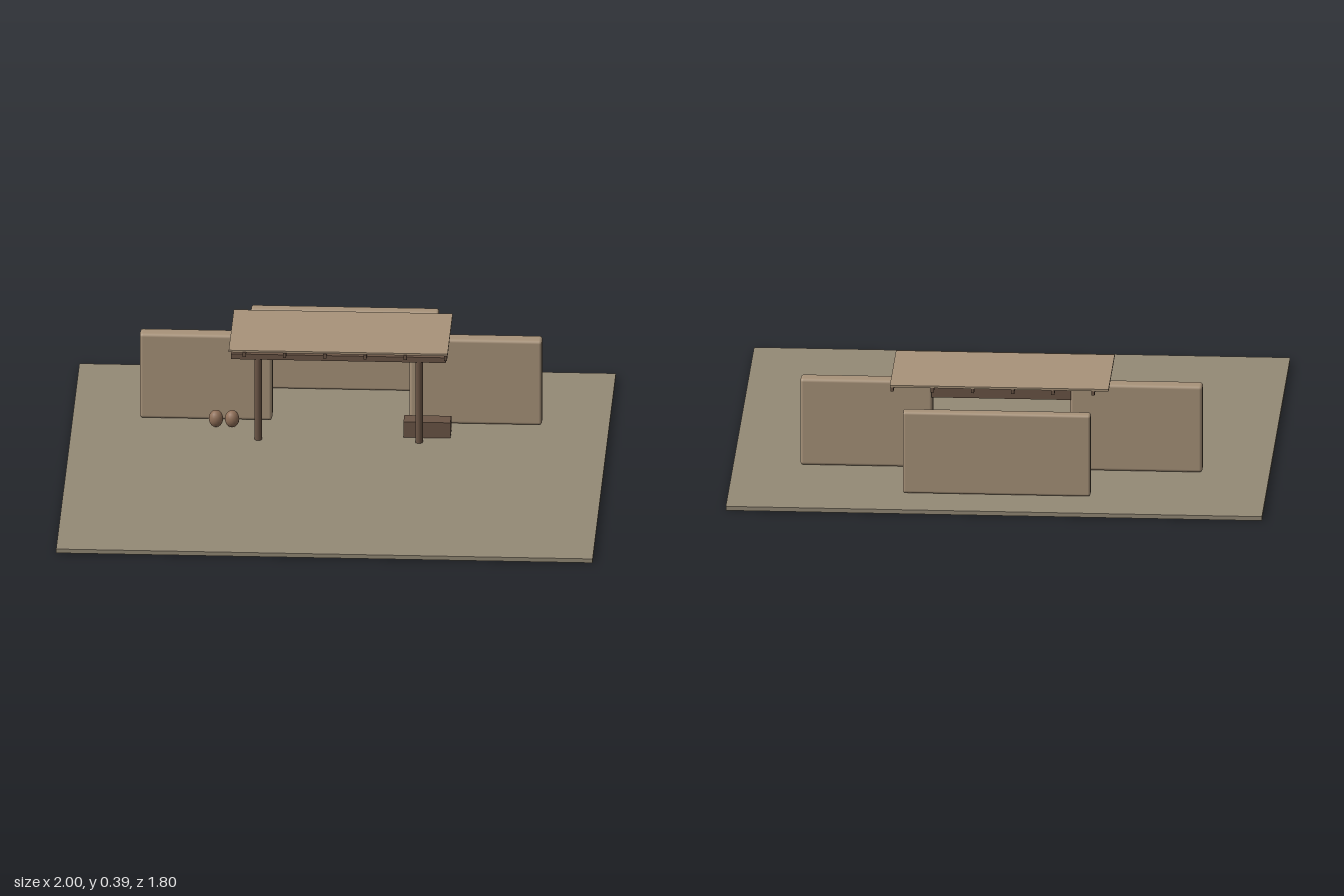
import * as THREE from 'three';
import { RoundedBoxGeometry } from 'three/addons/geometries/RoundedBoxGeometry.js';

const mat = (color) => new THREE.MeshStandardMaterial({ color });

export function createModel() {
  const group = new THREE.Group();
  const earth = mat(0x948a76), clay = mat(0xa8937a), wood = mat(0x6b5546), pottery = mat(0x8f6f58);

  const add = (name, geometry, material, x, y, z) => {
    const mesh = new THREE.Mesh(geometry, material);
    mesh.name = name;
    mesh.position.set(x, y, z);
    group.add(mesh);
    return mesh;
  };
  // Box given by its low and high corners; a radius rounds its edges
  const block = (name, material, [x0, y0, z0], [x1, y1, z1], radius = 0) => {
    const size = [x1 - x0, y1 - y0, z1 - z0];
    const geometry = radius
      ? new RoundedBoxGeometry(...size, 3, radius)
      : new THREE.BoxGeometry(...size);
    return add(name, geometry, material, (x0 + x1) / 2, (y0 + y1) / 2, (z0 + z1) / 2);
  };

  // Ground slab
  block('ground', earth, [-1, 0, -0.9], [1, 0.016, 0.9]);

  // Walls: two in front with a gap between, one behind
  block('frontWallRight', clay, [-0.75, 0.02, -0.432], [-0.256, 0.36, -0.37], 0.012);
  block('frontWallLeft', clay, [0.256, 0.02, -0.432], [0.75, 0.36, -0.37], 0.012);
  block('backWall', clay, [-0.35, 0.02, -0.727], [0.35, 0.34, -0.68], 0.01);

  // Lintel over the gap
  block('lintel', wood, [-0.26, 0.3, -0.438], [0.26, 0.348, -0.362]);

  // Porch posts and beam
  for (const x of [-0.3, 0.3]) {
    add('post', new THREE.CylinderGeometry(0.014, 0.014, 0.33, 12), wood, x, 0.18, -0.2);
  }
  block('beam', wood, [-0.4, 0.343, -0.215], [0.4, 0.364, -0.185]);

  // Rafters and roof sheet
  for (let i = 0; i < 6; i++) {
    const x = -0.35 + i * 0.15;
    block('rafter', wood, [x - 0.006, 0.362, -0.56], [x + 0.006, 0.38, -0.16]);
  }
  block('roof', clay, [-0.408, 0.379, -0.56], [0.408, 0.387, -0.165]);

  // Low bench
  block('bench', wood, [0.24, 0.018, -0.305], [0.415, 0.08, -0.238]);

  // Egg-shaped jars
  for (const x of [-0.462, -0.402]) {
    const jar = add('jar', new THREE.SphereGeometry(0.027, 16, 12), pottery, x, 0.054, -0.302);
    jar.scale.y = 1.22;
  }

  return group;
}
